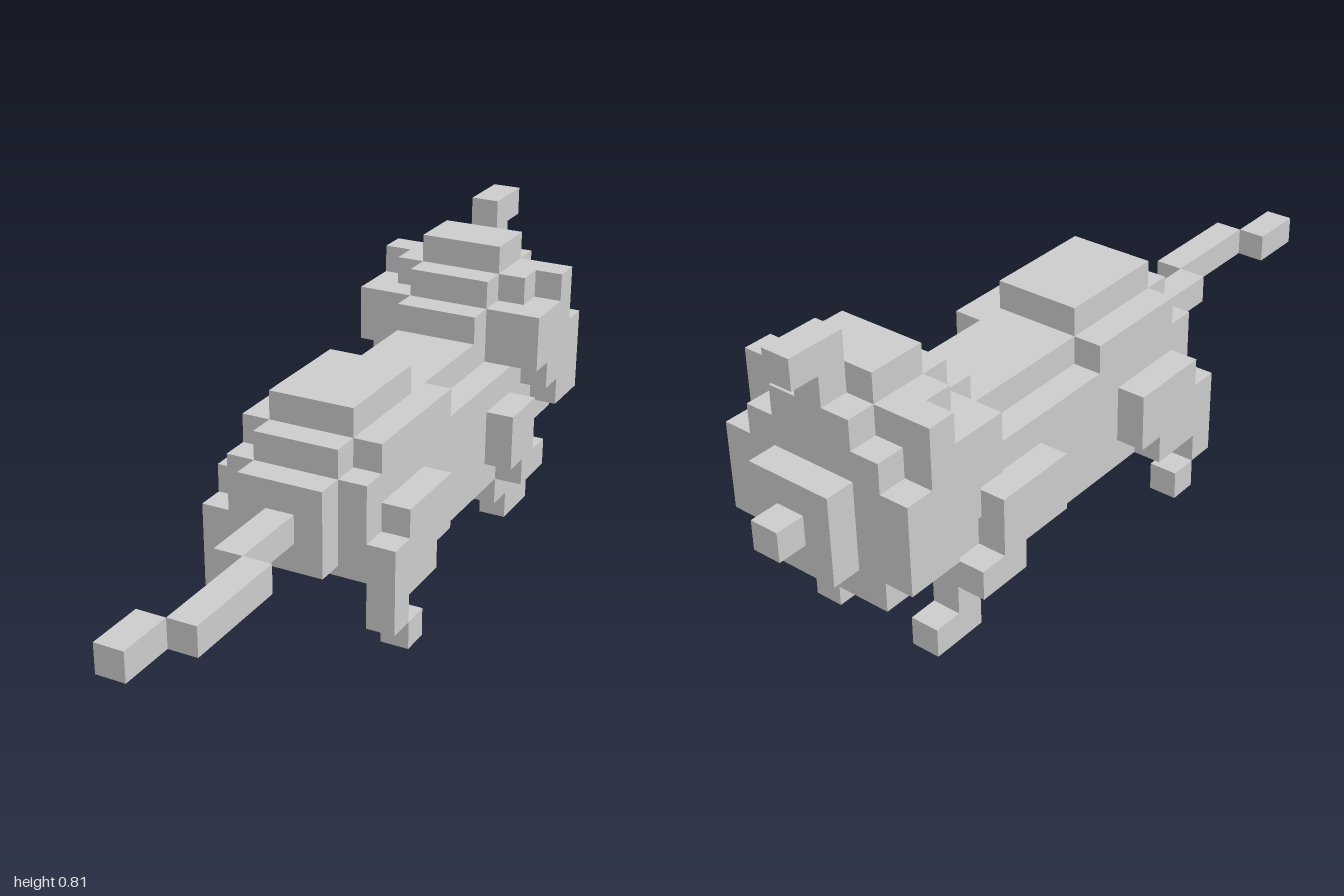
import * as THREE from 'three';

const U = 2 / 27; // edge of one cube; the animal is 27 cubes long

export function createModel() {
  const model = new THREE.Group();
  const material = new THREE.MeshStandardMaterial({ color: 0xcccccc, flatShading: true });

  // Block spanning columns x0..x1 (0 is the middle), heights y0..y1, and z0..z1 cubes behind the nose
  const block = (name, [x0, x1], [y0, y1], [z0, z1]) => {
    const w = x1 - x0 + 1, h = y1 - y0, d = z1 - z0;
    const mesh = new THREE.Mesh(new THREE.BoxGeometry(w * U, h * U, d * U), material);
    mesh.name = name;
    mesh.position.set(((x0 + x1) / 2) * U, ((y0 + y1) / 2) * U, ((z0 + z1) / 2) * U - 1);
    model.add(mesh);
  };
  const centred = (name, half, y, z) => block(name, [-half, half], y, z);
  const paired = (name, x, y, z) => {
    block(name + 'Left', [x, x], y, z);
    block(name + 'Right', [-x, -x], y, z);
  };

  // Body, with flanks stepping down behind the shoulders
  centred('belly', 2, [2, 6], [5, 16]);
  centred('back', 1, [6, 7], [6, 17]);
  block('flankLeft', [2, 2], [6, 7], [11, 16]);
  block('flankRight', [-2, -2], [6, 7], [12, 16]);
  centred('hump', 1, [7, 8], [12, 16]);
  centred('haunch', 2, [3, 6], [16, 17]);
  centred('rump', 1, [3, 6], [17, 18]);

  // Tail with a sideways kink
  centred('tailBase', 0, [4, 5], [18, 21]);
  block('tailMiddle', [1, 1], [4, 5], [21, 25]);
  centred('tailTip', 0, [4, 5], [25, 27]);

  // Head
  centred('head', 2, [4, 8], [2, 6]);
  centred('jaw', 2, [3, 4], [2, 5]);
  centred('muzzle', 1, [4, 7], [1, 2]);
  centred('nose', 0, [5, 6], [0, 1]);
  centred('nape', 1, [7, 8], [6, 7]);
  centred('brow', 1, [8, 9], [2, 6]);
  centred('crown', 2, [8, 9], [3, 5]);
  centred('crownTop', 1, [9, 10], [3, 5]);
  centred('tuftBase', 0, [9, 10], [2, 3]);
  centred('tuft', 0, [10, 11], [1, 3]);

  // Cheeks: stepped along the lower back edge
  paired('cheekFront', 3, [4, 7], [2, 3]);
  paired('cheek', 3, [4, 8], [3, 4]);
  paired('cheekMiddle', 3, [5, 8], [4, 5]);
  paired('cheekBack', 3, [6, 8], [5, 6]);
  paired('ear', 3, [8, 9], [3, 4]);

  // Hind legs
  paired('thigh', 3, [2, 5], [14, 16]);
  paired('knee', 3, [3, 5], [13, 14]);
  paired('hindShin', 3, [1, 4], [16, 17]);
  paired('hindFoot', 3, [0, 1], [15, 16]);

  // Front legs, the right shoulder reaching one cube further back
  paired('shoulder', 3, [2, 5], [6, 7]);
  block('elbowLeft', [3, 3], [3, 5], [7, 8]);
  block('elbowRight', [-3, -3], [3, 5], [7, 9]);
  paired('forearm', 3, [2, 3], [5, 6]);
  paired('frontShin', 2, [1, 2], [5, 7]);
  paired('frontFoot', 2, [0, 1], [4, 6]);

  return model;
}
